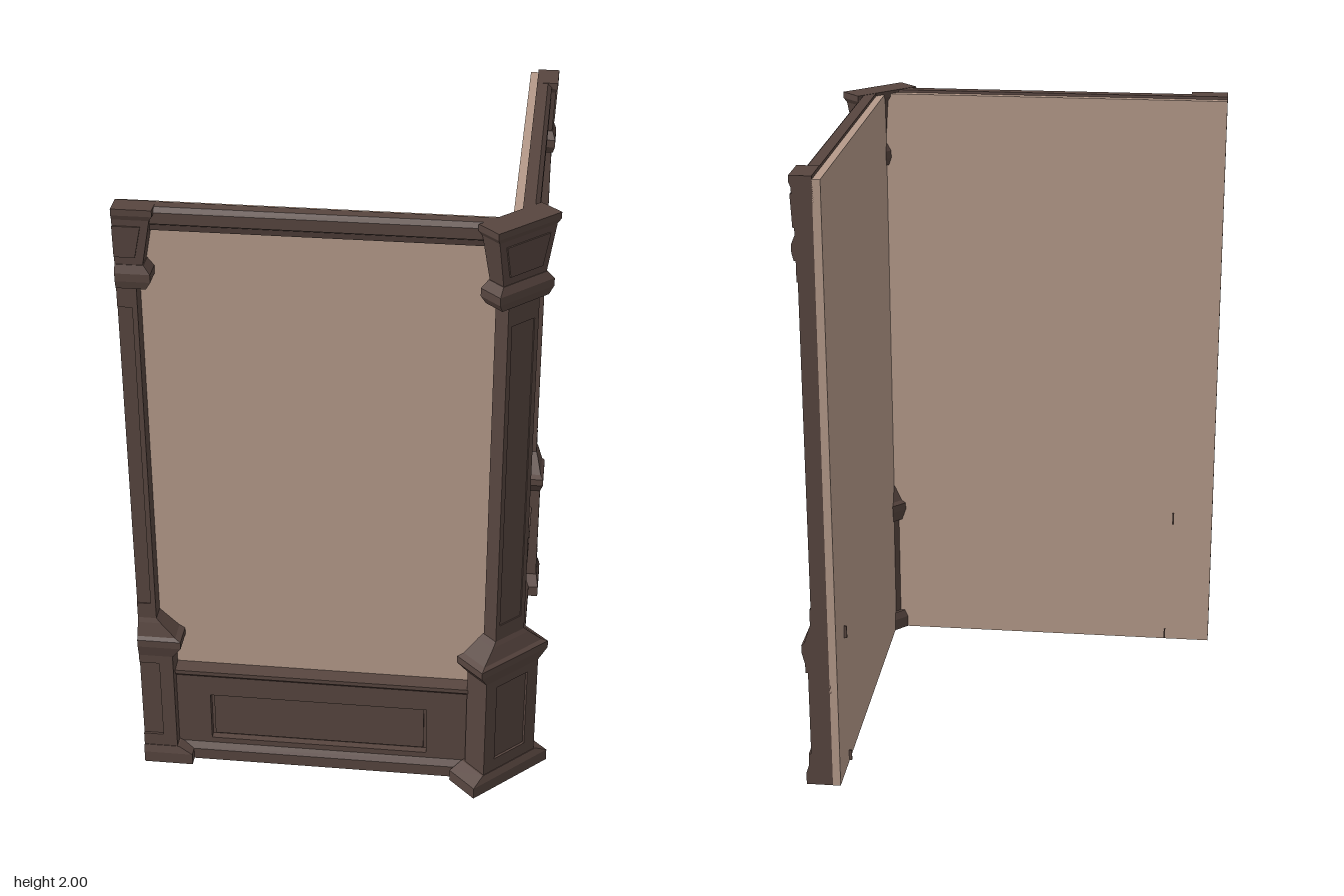
import * as THREE from 'three';

const wood = new THREE.MeshStandardMaterial({ color: 0x57453f });
wood.name = 'dark wood';
const plaster = new THREE.MeshStandardMaterial({ color: 0xb59a8a });
plaster.name = 'tan wall';

function add(parent, name, geometry, material = wood) {
  const mesh = new THREE.Mesh(geometry, material);
  mesh.name = name;
  parent.add(mesh);
  return mesh;
}

// Box given by its limits
function box(parent, name, x0, x1, y0, y1, z0, z1, material) {
  const g = new THREE.BoxGeometry(Math.abs(x1 - x0), y1 - y0, z1 - z0);
  g.translate((x0 + x1) / 2, (y0 + y1) / 2, (z0 + z1) / 2);
  return add(parent, name, g, material);
}

// Stacked rectangles [y, half width, half depth]; lo and hi select the left and right halves
function tower(rows, lo, hi, back) {
  const rings = rows.map(([y, w, d]) => {
    const b = -Math.min(d, back);
    return [[lo * w, y, d], [hi * w, y, d], [hi * w, y, b], [lo * w, y, b]];
  });
  const pos = [];
  const quad = (a, b, c, d) => pos.push(...a, ...b, ...c, ...a, ...c, ...d);
  for (let i = 0; i < rings.length - 1; i++) {
    for (let k = 0; k < 4; k++) {
      const n = (k + 1) % 4;
      quad(rings[i][k], rings[i][n], rings[i + 1][n], rings[i + 1][k]);
    }
  }
  const top = rings[rings.length - 1], bottom = rings[0];
  quad(...top);
  quad(bottom[3], bottom[2], bottom[1], bottom[0]);
  const g = new THREE.BufferGeometry();
  g.setAttribute('position', new THREE.Float32BufferAttribute(pos, 3));
  g.computeVertexNormals();
  return g;
}

// Moulding with a [z, y] profile running along x
function moulding(parent, name, profile, x0, x1) {
  const shape = new THREE.Shape(profile.map(([z, y]) => new THREE.Vector2(-z, y)));
  const g = new THREE.ExtrudeGeometry(shape, { depth: Math.abs(x1 - x0), bevelEnabled: false });
  g.rotateY(Math.PI / 2);
  g.translate(Math.min(x0, x1), 0, 0);
  return add(parent, name, g);
}

function makePillar(name, lo, hi, back) {
  const p = new THREE.Group();
  p.name = name;
  const part = (label, rows, b = back) => add(p, label, tower(rows, lo, hi, b));
  part('pillarBase', [[0, .16, .06], [.04, .16, .06], [.065, .115, .052]]);
  part('pedestal', [[.06, .11, .042], [.435, .11, .042]]);
  part('pedestalCollar', [[.43, .11, .05], [.47, .14, .06], [.495, .14, .06],
    [.505, .122, .05], [.55, .075, .036], [.565, .06, .03]]);
  part('shaft', [[.55, .06, .026], [1.76, .06, .026]]);
  part('capitalCollar', [[1.745, .09, .036], [1.77, .105, .042], [1.795, .105, .042], [1.82, .085, .032]]);
  part('capital', [[1.82, .083, .03], [1.965, .11, .037], [1.98, .12, .043], [2, .12, .043]]);
  part('capitalPanel', [[1.845, .062, .036], [1.945, .083, .041]], .01);

  // Raised borders around the sunken pedestal and shaft panels
  const border = (label, w, inner, y0, y1, h0, h1, z0, z1) => {
    box(p, label, lo * w, hi * w, y0, h0, z0, z1);
    box(p, label, lo * w, hi * w, h1, y1, z0, z1);
    if (lo) box(p, label, -w, -inner, h0, h1, z0, z1);
    if (hi) box(p, label, inner, w, h0, h1, z0, z1);
  };
  border('pedestalBorder', .11, .065, .06, .435, .11, .4, .04, .05);
  border('shaftBorder', .06, .044, .555, 1.75, .62, 1.68, .024, .03);
  return p;
}

// s = 1 puts the free end at -x, s = -1 mirrors the wall
function makeWall(name, s) {
  const wall = new THREE.Group();
  wall.name = name;
  const end = -.665 * s, corner = .45 * s;
  box(wall, 'wallPanel', end, .49 * s, 0, 1.99, .48, .505, plaster);

  // Panelled lower wall
  const frame = new THREE.Shape();
  const x0 = Math.min(end, corner), x1 = Math.max(end, corner);
  frame.moveTo(x0, .03).lineTo(x1, .03).lineTo(x1, .345).lineTo(x0, .345).closePath();
  const a = Math.min(-.445 * s, .265 * s), b = a + .71;
  const hole = new THREE.Path();
  hole.moveTo(a, .08).lineTo(a, .255).lineTo(b, .255).lineTo(b, .08).closePath();
  frame.holes.push(hole);
  const g = new THREE.ExtrudeGeometry(frame, { depth: .035, bevelEnabled: false });
  add(wall, 'lowerWallFrame', g.translate(0, 0, .505));
  box(wall, 'lowerWallBacking', a, b, .08, .255, .505, .515);
  box(wall, 'lowerWallPanel', a + .01, b - .01, .09, .245, .514, .526);

  // Skirting, ledge and top rail
  moulding(wall, 'skirting', [[.5, 0], [.556, 0], [.556, .04], [.54, .06], [.5, .06]], end, corner);
  moulding(wall, 'ledge', [[.5, .33], [.54, .33], [.553, .343], [.553, .357], [.5, .362]], end, corner);
  moulding(wall, 'topRail', [[.5, 1.92], [.53, 1.92], [.535, 1.94], [.553, 1.95],
    [.553, 1.985], [.54, 1.999], [.505, 1.999]], end, corner);

  // Half pillar at the free end
  const pillar = makePillar('endPillar', s > 0 ? 0 : -1, s > 0 ? 1 : 0, .025);
  pillar.position.set(end, 0, .53);
  wall.add(pillar);

  // Pillar edges just breaking through the back
  box(wall, 'collarEdge', -.53 * s, -.524 * s, .46, .5, .471, .485);
  box(wall, 'baseEdge', -.51 * s, -.505 * s, .005, .04, .471, .485);
  return wall;
}

export function createModel() {
  const model = new THREE.Group();
  model.name = 'cornerWall';
  model.add(makeWall('frontWall', 1));
  const side = makeWall('sideWall', -1);
  side.rotation.y = Math.PI / 2;
  model.add(side);
  const pillar = makePillar('cornerPillar', -1, 1, 1);
  pillar.position.set(.502, 0, .502);
  pillar.rotation.y = Math.PI / 4;
  model.add(pillar);
  return model;
}
